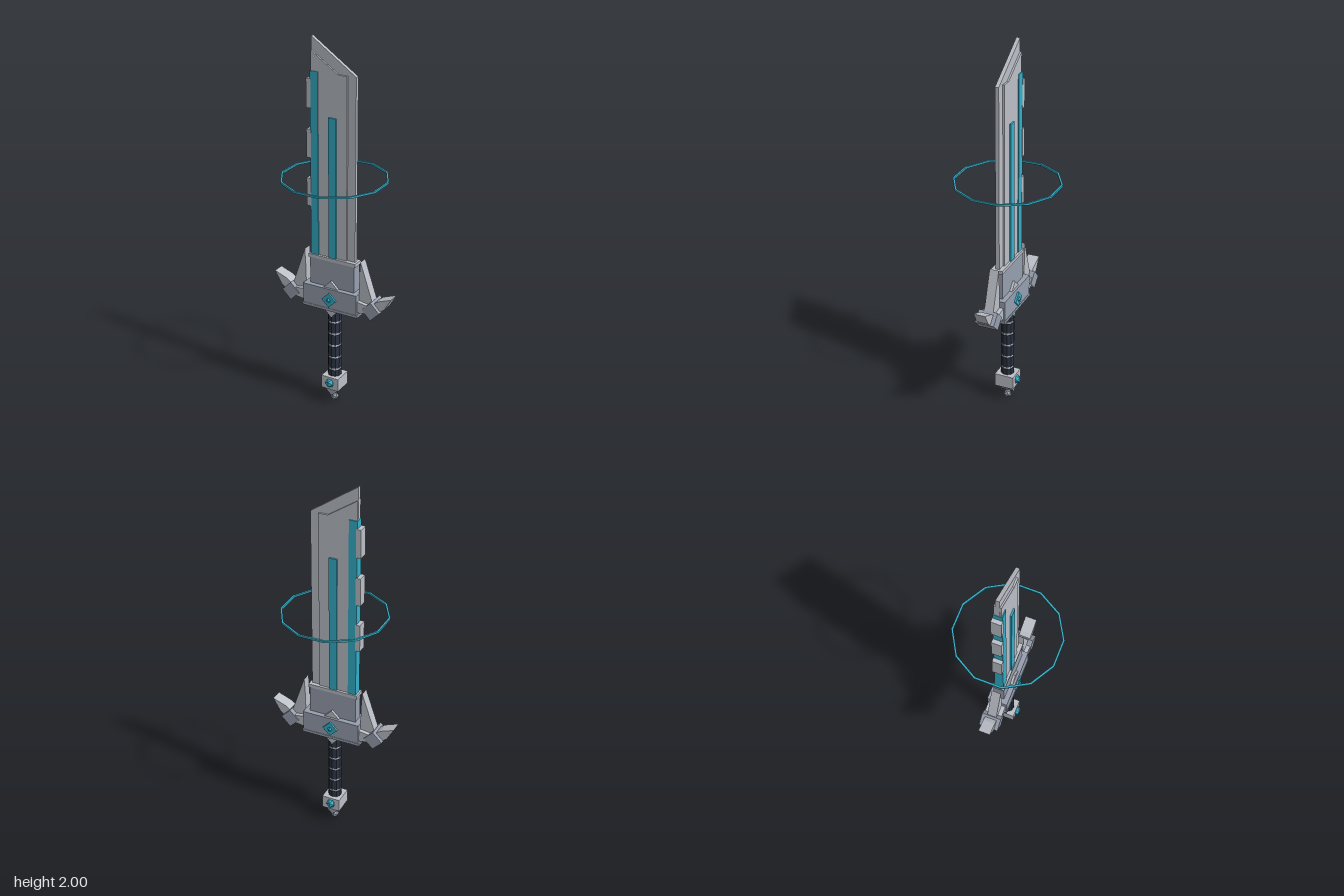
import * as THREE from 'three';

const mat = (name, color) => {
  const m = new THREE.MeshStandardMaterial({ color, flatShading: true });
  m.name = name;
  return m;
};

export function createModel() {
  const root = new THREE.Group();
  root.name = 'sword';
  const steel = mat('lightSteel', 0xbcc0c8);
  const guardMetal = mat('blueGreySteel', 0x98a0b0);
  const grip = mat('darkGrip', 0x2a3240);
  const glow = mat('cyanGlow', 0x35b0cb);

  const add = (name, geo, material, x = 0, y = 0, z = 0, parent = root) => {
    const mesh = new THREE.Mesh(geo, material);
    mesh.name = name;
    mesh.position.set(x, y, z);
    parent.add(mesh);
    return mesh;
  };
  // box given by its x and y ranges and its half depth
  const slab = (name, x0, x1, y0, y1, hz, material, parent) =>
    add(name, new THREE.BoxGeometry(x1 - x0, y1 - y0, hz * 2), material, (x0 + x1) / 2, (y0 + y1) / 2, 0, parent);
  // square bar standing on its corner, with half diagonal r
  const diamond = (name, x, y, r, hz, material, parent) => {
    const side = r * Math.SQRT2;
    const m = add(name, new THREE.BoxGeometry(side, side, hz * 2), material, x, y, 0, parent);
    m.rotation.z = Math.PI / 4;
    return m;
  };
  // outline extruded evenly to both sides of z = 0
  const plate = (name, pts, hz, material, parent) => {
    const shape = new THREE.Shape(pts.map(p => new THREE.Vector2(...p)));
    const geo = new THREE.ExtrudeGeometry(shape, { depth: hz * 2, bevelEnabled: false });
    return add(name, geo.translate(0, 0, -hz), material, 0, 0, 0, parent);
  };

  // blade: thin cutting edge and thicker core
  plate('bladeEdge', [[-0.125, 0.8], [0.125, 0.8], [0.125, 1.83], [-0.125, 2]], 0.01, steel);
  plate('bladeCore', [[-0.124, 0.8], [0.08, 0.8], [0.08, 1.83], [0.03, 1.83], [-0.124, 1.932]], 0.019, steel);
  slab('spineGlow', -0.127, -0.083, 0.82, 1.83, 0.024, glow);
  slab('centreGlow', -0.021, 0.021, 0.82, 1.608, 0.028, glow);
  for (const y of [1.12, 1.38, 1.64]) slab('spinePlate', -0.148, -0.122, y, y + 0.15, 0.026, steel);

  // floating twelve-sided ring
  const ringProfile = [[0.268, -0.005], [0.278, -0.005], [0.278, 0.005], [0.268, 0.005], [0.268, -0.005]];
  add('ring', new THREE.LatheGeometry(ringProfile.map(p => new THREE.Vector2(...p)), 12, Math.PI / 12), glow, 0, 1.29, 0);

  // guard
  slab('bladeSocket', -0.13, 0.13, 0.68, 0.84, 0.029, guardMetal);
  slab('socketLip', -0.137, 0.137, 0.836, 0.855, 0.032, steel);
  slab('guardBlock', -0.158, 0.158, 0.575, 0.69, 0.055, guardMetal);
  slab('guardBase', -0.164, 0.164, 0.565, 0.58, 0.057, guardMetal);
  diamond('guardCrest', 0, 0.69, 0.041, 0.043, steel);
  diamond('guardGem', 0, 0.63, 0.041, 0.065, glow);
  for (const s of [-1, 1]) {
    const tip = add('guardGemTip', new THREE.OctahedronGeometry(0.016), glow, 0, 0.63, s * 0.063);
    tip.rotation.z = 0.2;
  }

  // guard wings, one turned half round to mirror the other
  for (const side of [1, -1]) {
    const wing = new THREE.Group();
    wing.name = side > 0 ? 'leftWing' : 'rightWing';
    wing.rotation.y = side > 0 ? 0 : Math.PI;
    root.add(wing);
    plate('wingArm', [[0.15, 0.59], [0.215, 0.6], [0.215, 0.645], [0.15, 0.655]], 0.047, steel, wing);
    plate('wingSpike', [[0.155, 0.62], [0.24, 0.62], [0.236, 0.66], [0.165, 0.872], [0.16, 0.8]], 0.025, steel, wing);
    diamond('wingKnuckle', 0.238, 0.62, 0.051, 0.052, guardMetal, wing);
    plate('wingHorn', [[0.24, 0.62], [0.28, 0.618], [0.308, 0.64], [0.346, 0.706], [0.272, 0.678], [0.24, 0.655]], 0.032, steel, wing);
  }

  // grip: dark drums parted by pale rings
  const seams = [0.15, 0.206, 0.277, 0.348, 0.418, 0.487, 0.55];
  for (let i = 0; i < seams.length - 1; i++) {
    const h = seams[i + 1] - seams[i] - 0.012;
    add('gripDrum', new THREE.CylinderGeometry(0.036, 0.036, h, 10), grip, 0, (seams[i] + seams[i + 1]) / 2, 0);
    if (i > 0) add('gripRing', new THREE.CylinderGeometry(0.033, 0.033, 0.016, 10), steel, 0, seams[i], 0);
  }
  diamond('gripCollar', 0, 0.56, 0.04, 0.04, steel);

  // pommel
  slab('pommelBlock', -0.05, 0.05, 0.092, 0.165, 0.053, steel);
  diamond('pommelTaper', 0, 0.088, 0.043, 0.037, guardMetal);
  add('pommelBead', new THREE.IcosahedronGeometry(0.023, 0), guardMetal, 0, 0.024, 0);
  for (const s of [-1, 1]) add('pommelGem', new THREE.IcosahedronGeometry(0.027, 0), glow, 0, 0.13, s * 0.05);

  return root;
}
